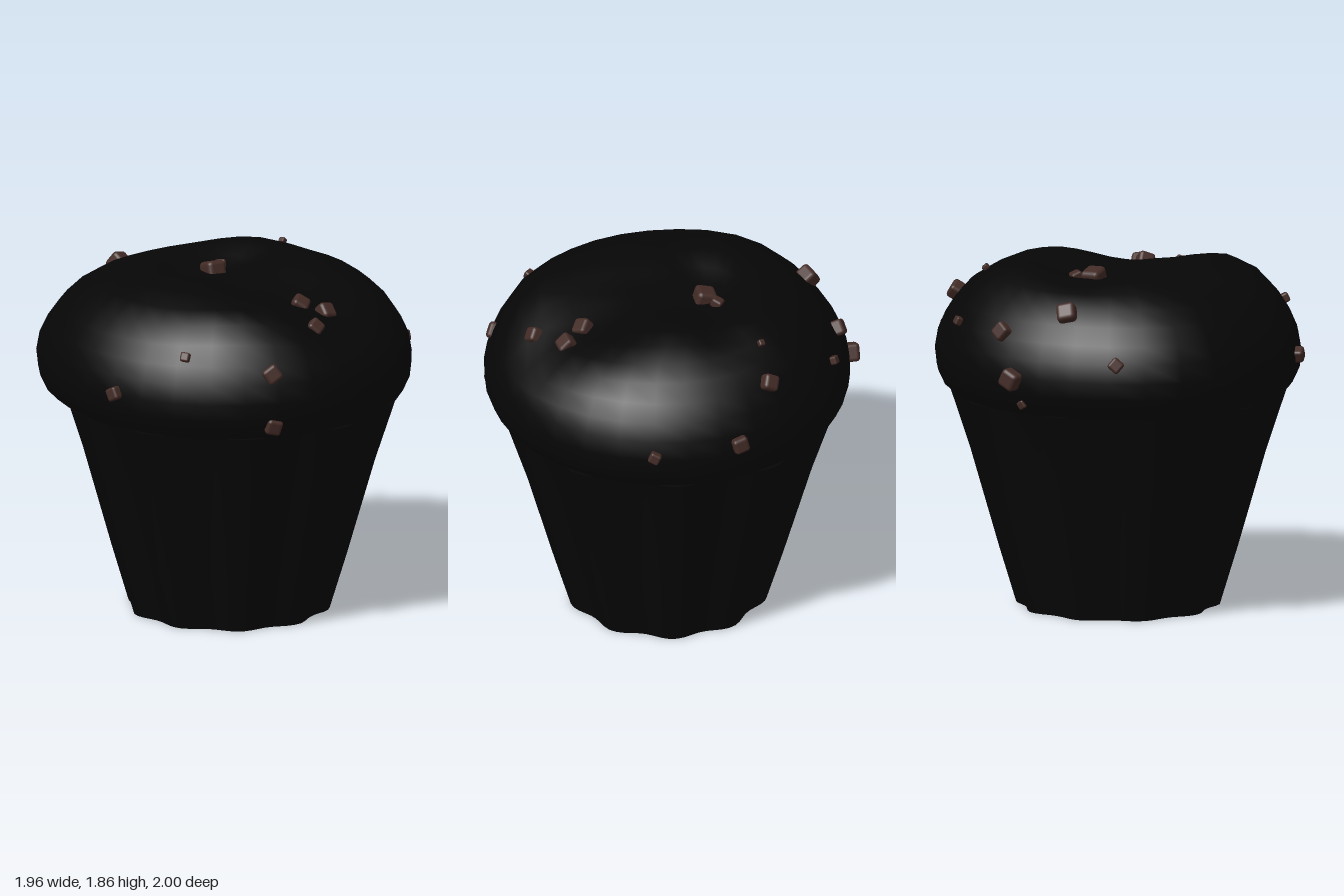
import * as THREE from 'three';
import { mergeVertices, toCreasedNormals } from 'three/addons/utils/BufferGeometryUtils.js';
import { RoundedBoxGeometry } from 'three/addons/geometries/RoundedBoxGeometry.js';

const CX = -0.01, CZ = 0.033;
const baked = new THREE.MeshStandardMaterial({ color: 0x060606 });
const chocolate = new THREE.MeshStandardMaterial({ color: 0x432b26 });

const bell = (d, width) => Math.exp(-((d / width) ** 2));

// Lathe a profile, move its vertices by a rule, and weld the seam
function shapedLathe(profile, segments, rule) {
  const points = profile.map(([r, y]) => new THREE.Vector2(r, y));
  let geo = new THREE.LatheGeometry(points, segments);
  geo.rotateY(Math.PI / segments);
  const pos = geo.attributes.position, v = new THREE.Vector3();
  for (let i = 0; i < pos.count; i++) {
    rule(v.fromBufferAttribute(pos, i));
    pos.setXYZ(i, v.x, v.y, v.z);
  }
  geo.deleteAttribute('normal');
  geo.deleteAttribute('uv');
  geo = mergeVertices(geo, 1e-4);
  geo.computeVertexNormals();
  return geo;
}

// Fluted cup: ten lobes around a flaring wall, shallow dish underneath
function makeCup() {
  const profile = [[0, 0.006], [0.15, 0.006], [0.16, 0], [0.522, 0], [0.61, 0.3],
    [0.757, 0.83], [0.862, 1.16], [0.78, 1.165]];
  const geo = shapedLathe(profile, 80, (v) => {
    if (Math.hypot(v.x, v.z) < 0.2) return;
    const k = 1 + 0.038 * Math.sin(10 * Math.atan2(v.x, v.z));
    v.x *= k;
    v.z *= k;
  });
  const cup = new THREE.Mesh(toCreasedNormals(geo, 0.6), baked);
  cup.name = 'flutedCup';
  cup.position.set(CX, 0, CZ);
  return cup;
}

// Puffed top: rounded ring with an off-centre dimple and uneven height
function makeTop() {
  const profile = [[0.78, 1.15], [0.87, 1.155], [0.925, 1.2], [0.962, 1.28], [0.972, 1.37],
    [0.955, 1.47], [0.915, 1.56], [0.855, 1.65], [0.775, 1.73], [0.675, 1.795], [0.55, 1.842],
    [0.43, 1.866], [0.32, 1.858], [0.22, 1.833], [0.12, 1.795], [0.05, 1.775], [0, 1.77]];
  const geo = shapedLathe(profile, 32, (v) => {
    // Bulge at the back left
    const k = 1 + 0.055 * bell(Math.atan2(-v.x, -v.z) - 0.85, 0.42);
    v.x *= k;
    v.z *= k;
    // Shift the dimple off centre
    const inward = Math.max(0, 1 - Math.hypot(v.x, v.z) / 0.7);
    v.x += 0.12 * inward;
    v.z -= 0.18 * inward;
    // Hollows and swellings of the crust
    const weight = THREE.MathUtils.smoothstep(v.y, 1.45, 1.75);
    const crest = THREE.MathUtils.smoothstep(v.y, 1.77, 1.86);
    const front = THREE.MathUtils.smoothstep(v.z, 0, 0.45);
    const valley = 0.085 * front * bell(v.x - 0.2, v.x > 0.2 ? 0.35 : 0.22);
    const notches = 0.045 * bell(v.x + 0.12, v.x > -0.12 ? 0.35 : 0.17)
      + 0.03 * bell(v.z + 0.18, 0.13);
    const swell = 0.035 * bell(Math.hypot(v.x - 0.6, v.z + 0.55), 0.22)
      + 0.03 * bell(Math.hypot(v.x + 0.45, v.z - 0.7), 0.25);
    v.y += weight * (swell - valley) - crest * notches;
  });
  const top = new THREE.Mesh(geo, baked);
  top.name = 'muffinTop';
  top.position.set(CX, 0, CZ);
  return top;
}

// Chocolate chips: x, y, z, size
const CHIPS = [
  [0.06, 1.36, -0.95, 0.1], [0.02, 1.22, -0.895, 0.045], [0.17, 1.59, -0.855, 0.085],
  [-0.18, 1.71, -0.77, 0.1], [-0.51, 1.47, -0.815, 0.07], [0.5, 1.6, -0.76, 0.045],
  [0.76, 1.67, -0.35, 0.085], [0.58, 1.81, -0.345, 0.035], [0.935, 1.42, -0.15, 0.085],
  [0.925, 1.39, 0.31, 0.06], [-0.94, 1.38, 0.34, 0.07], [-0.68, 1.61, 0.63, 0.05],
  [-0.31, 1.52, 0.9, 0.09], [-0.31, 1.24, 0.915, 0.085], [0.05, 1.69, 0.77, 0.08],
  [0.21, 1.715, 0.63, 0.09], [0.12, 1.745, 0.52, 0.09], [0.02, 1.785, -0.165, 0.11],
  [0.1, 1.79, -0.215, 0.06],
];

function makeChips() {
  const chips = new THREE.Group();
  chips.name = 'chocolateChips';
  const geo = new RoundedBoxGeometry(1, 1, 0.85, 2, 0.22);
  const out = new THREE.Vector3(), axis = new THREE.Vector3(0, 0, 1);
  CHIPS.forEach(([x, y, z, size], i) => {
    const chip = new THREE.Mesh(geo, chocolate);
    chip.name = 'chip' + (i + 1);
    chip.position.set(x, y, z);
    chip.scale.setScalar(size);
    // Lay each chip against the surface, then twist it
    out.set(x - CX, (y - 1.35) * 1.6, z - CZ).normalize();
    chip.quaternion.setFromUnitVectors(axis, out);
    chip.rotateZ(i * 2.4);
    chips.add(chip);
  });
  return chips;
}

export function createModel() {
  const model = new THREE.Group();
  model.name = 'muffin';
  model.add(makeCup(), makeTop(), makeChips());
  return model;
}
